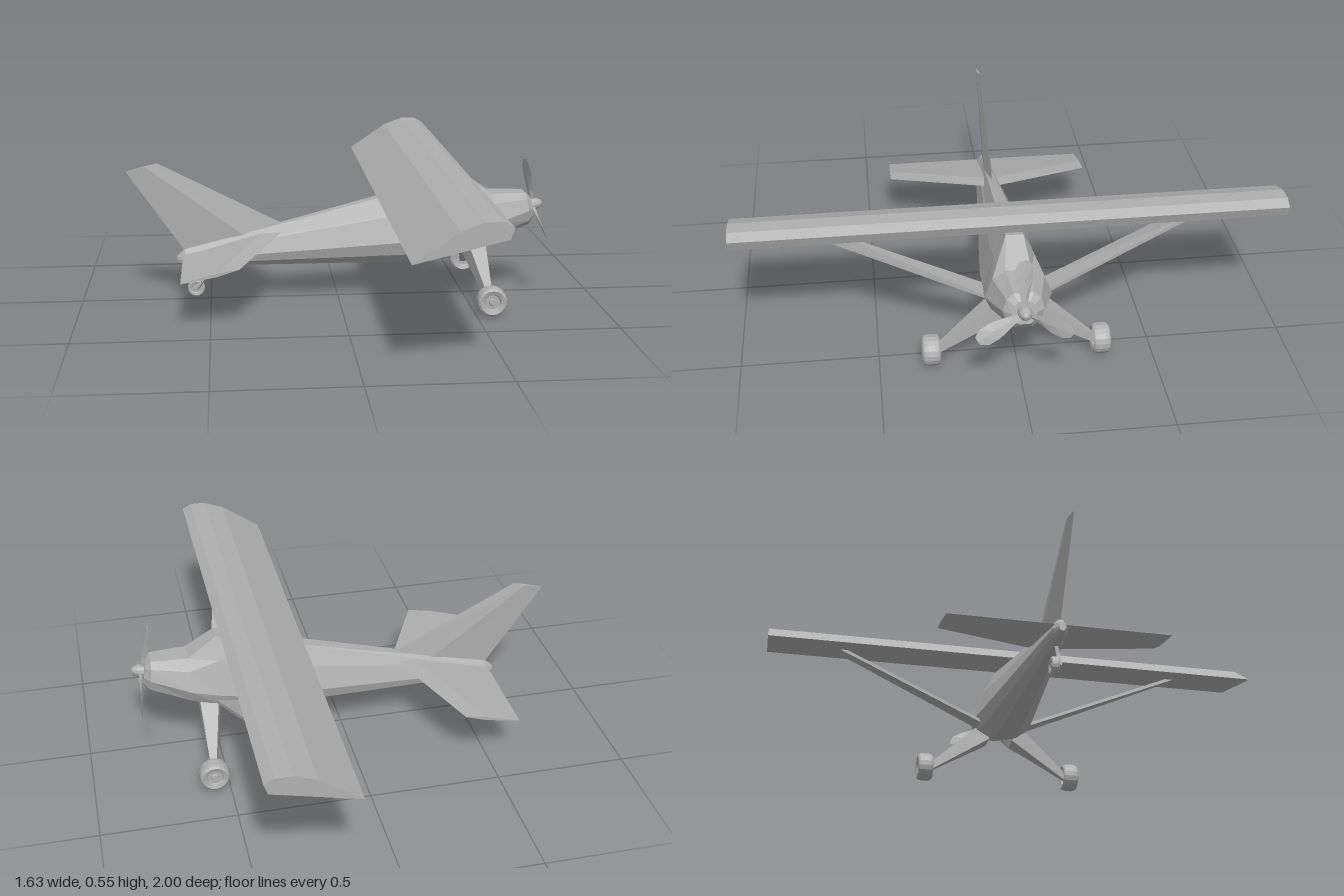
import * as THREE from 'three';

const grey = new THREE.MeshStandardMaterial({ color: 0xb0b0b0, flatShading: true });
grey.name = 'plainGrey';

function mesh(name, geometry) {
  const m = new THREE.Mesh(geometry, grey);
  m.name = name;
  return m;
}

// Skin through rings of points, counter-clockwise seen from the far end, with end caps
function loft(name, rings) {
  const n = rings[0].length, index = [];
  for (let i = 0; i < rings.length - 1; i++) {
    for (let j = 0; j < n; j++) {
      const k = (j + 1) % n, a = i * n + j, b = i * n + k;
      index.push(a, b, b + n, a, b + n, a + n);
    }
  }
  const last = (rings.length - 1) * n;
  for (let j = 1; j < n - 1; j++) {
    index.push(0, j + 1, j, last, last + j, last + j + 1);
  }
  const g = new THREE.BufferGeometry();
  g.setAttribute('position', new THREE.Float32BufferAttribute(rings.flat(2), 3));
  g.setIndex(index);
  const flat = g.toNonIndexed();
  flat.computeVertexNormals();
  return mesh(name, flat);
}

// Tapered bar running sideways; each end is [z, x0, x1, y at x0, y at x1, thickness]
function bar(name, side, inner, outer) {
  const rings = [inner, outer].map(([z, x0, x1, y0, y1, t]) =>
    [[x0, y0], [x1, y1], [x1, y1 + t], [x0, y0 + t]].map(([x, y]) => [x, y, z * side]));
  return loft(name, side > 0 ? rings : rings.reverse());
}

// Tyre with recessed hub, axle along z
function wheel(name, r, w, x, y, z) {
  const half = [[0.2, 0.4], [0.25, 0.3], [0.5, 0.3], [0.56, 0.42], [0.82, 0.5], [0.95, 0.4], [1, 0.2]];
  const pts = [[0, 0.4], ...half].map(([a, b]) => new THREE.Vector2(a * r, -b * w));
  pts.push(...pts.slice().reverse().map(p => new THREE.Vector2(p.x, -p.y)));
  const g = new THREE.LatheGeometry(pts, 18);
  g.rotateX(Math.PI / 2);
  const m = mesh(name, g);
  m.position.set(x, y, z);
  return m;
}

export function createModel() {
  const plane = new THREE.Group();
  plane.name = 'airplane';

  // Fuselage: x, lean, then y and half width of roof, shoulder, chine, lower side, belly
  const stations = [
    [-0.628, 0, 0.178, 0.004, 0.172, 0.01, 0.162, 0.012, 0.152, 0.01, 0.146, 0.004],
    [-0.595, 0, 0.205, 0.008, 0.19, 0.02, 0.167, 0.028, 0.15, 0.023, 0.137, 0.01],
    [0.36, 0, 0.45, 0.03, 0.36, 0.075, 0.245, 0.112, 0.188, 0.095, 0.144, 0.045],
    [0.488, 0, 0.486, 0.032, 0.4, 0.072, 0.27, 0.114, 0.218, 0.1, 0.187, 0.048],
    [0.6, 0, 0.412, 0.045, 0.38, 0.092, 0.305, 0.12, 0.255, 0.098, 0.23, 0.048],
    [0.745, 0.12, 0.41, 0.035, 0.39, 0.06, 0.345, 0.073, 0.303, 0.06, 0.281, 0.03],
    [0.768, 0.2, 0.39, 0.02, 0.378, 0.036, 0.35, 0.045, 0.322, 0.036, 0.308, 0.02],
  ];
  plane.add(loft('fuselage', stations.map(([x, lean, ...s]) => {
    const left = [0, 2, 4, 6, 8].map(i => [x - lean * (s[i] - 0.35), s[i], s[i + 1]]);
    return [...left, ...left.slice().reverse().map(([a, b, c]) => [a, b, -c])];
  })));

  // Straight high wing
  const airfoil = [[0.15, 0.405], [0.466, 0.482], [0.479, 0.52], [0.444, 0.54],
    [0.383, 0.54], [0.304, 0.511]];
  plane.add(loft('wing', [-1, 1].map(z => airfoil.map(([x, y]) => [x, y, z]))));

  // Tailplane, sloping along the rear deck
  const deck = x => 0.182 + 0.235 * (x + 0.6);
  plane.add(loft('tailplane', [[-0.405, -0.39, 0.007], [0, -0.208, 0.013], [0.405, -0.39, 0.007]]
    .map(([z, front, t]) => {
      const mid = front - 0.08;
      return [[-0.605, deck(-0.605), z], [mid, deck(mid) - t, z],
        [front, deck(front), z], [mid, deck(mid) + t, z]];
    })));

  // Swept fin
  const finRing = (x0, y0, x1, y1, t) => {
    const xm = x0 + (x1 - x0) * 0.6, ym = y0 + (y1 - y0) * 0.6;
    return [[x0, y0, 0], [xm, ym, t], [x1, y1, 0], [xm, ym, -t]];
  };
  plane.add(loft('fin', [
    finRing(-0.59, 0.185, -0.19, 0.285, 0.016),
    finRing(-0.816, 0.516, -0.694, 0.546, 0.006),
  ]));

  // Wing struts, main legs and wheels on both sides
  for (const side of [1, -1]) {
    const word = side > 0 ? 'left' : 'right';
    plane.add(bar(word + 'WingStrut', side,
      [0.09, 0.41, 0.508, 0.215, 0.225, 0.014], [0.705, 0.287, 0.383, 0.436, 0.46, 0.014]));
    plane.add(bar(word + 'GearLeg', side,
      [0.05, 0.488, 0.57, 0.18, 0.18, 0.1], [0.285, 0.543, 0.565, 0.045, 0.045, 0.034]));
    plane.add(wheel(word + 'MainWheel', 0.057, 0.064, 0.557, 0.058, 0.311 * side));
  }

  // Tail wheel on a bent strut
  const bend = new THREE.CatmullRomCurve3([
    new THREE.Vector3(-0.515, 0.155, 0), new THREE.Vector3(-0.52, 0.105, 0.008),
    new THREE.Vector3(-0.53, 0.08, 0.01), new THREE.Vector3(-0.558, 0.042, 0.006)]);
  plane.add(mesh('tailWheelStrut', new THREE.TubeGeometry(bend, 8, 0.008, 6)));
  plane.add(wheel('tailWheel', 0.034, 0.03, -0.558, 0.041, -0.015));

  // Three-bladed propeller with spinner, tilted with the thrust line
  const propeller = new THREE.Group();
  propeller.name = 'propeller';
  propeller.position.set(0.775, 0.355, 0);
  propeller.rotation.z = 0.2;
  const cone = [[0, -0.02], [0.026, -0.02], [0.026, 0], [0.022, 0.018], [0.012, 0.034], [0, 0.041]];
  const spinner = new THREE.LatheGeometry(cone.map(p => new THREE.Vector2(...p)), 12);
  spinner.rotateZ(-Math.PI / 2);
  propeller.add(mesh('spinner', spinner));
  // Blade sections: radius, half chord, half thickness, twist
  const sections = [[0.01, 0.009, 0.007, 0.8], [0.06, 0.018, 0.005, 0.5],
    [0.12, 0.032, 0.004, 0.3], [0.165, 0.031, 0.003, 0.2], [0.19, 0.016, 0.002, 0.15]];
  for (let i = 0; i < 3; i++) {
    const blade = loft('propellerBlade', sections.map(([r, c, t, a]) =>
      [[-t, 0], [0, c], [t, 0], [0, -c]].map(([x, z]) =>
        [x * Math.cos(a) + z * Math.sin(a), r, z * Math.cos(a) - x * Math.sin(a)])));
    blade.rotation.x = i * Math.PI * 2 / 3;
    propeller.add(blade);
  }
  plane.add(propeller);
  return plane;
}
